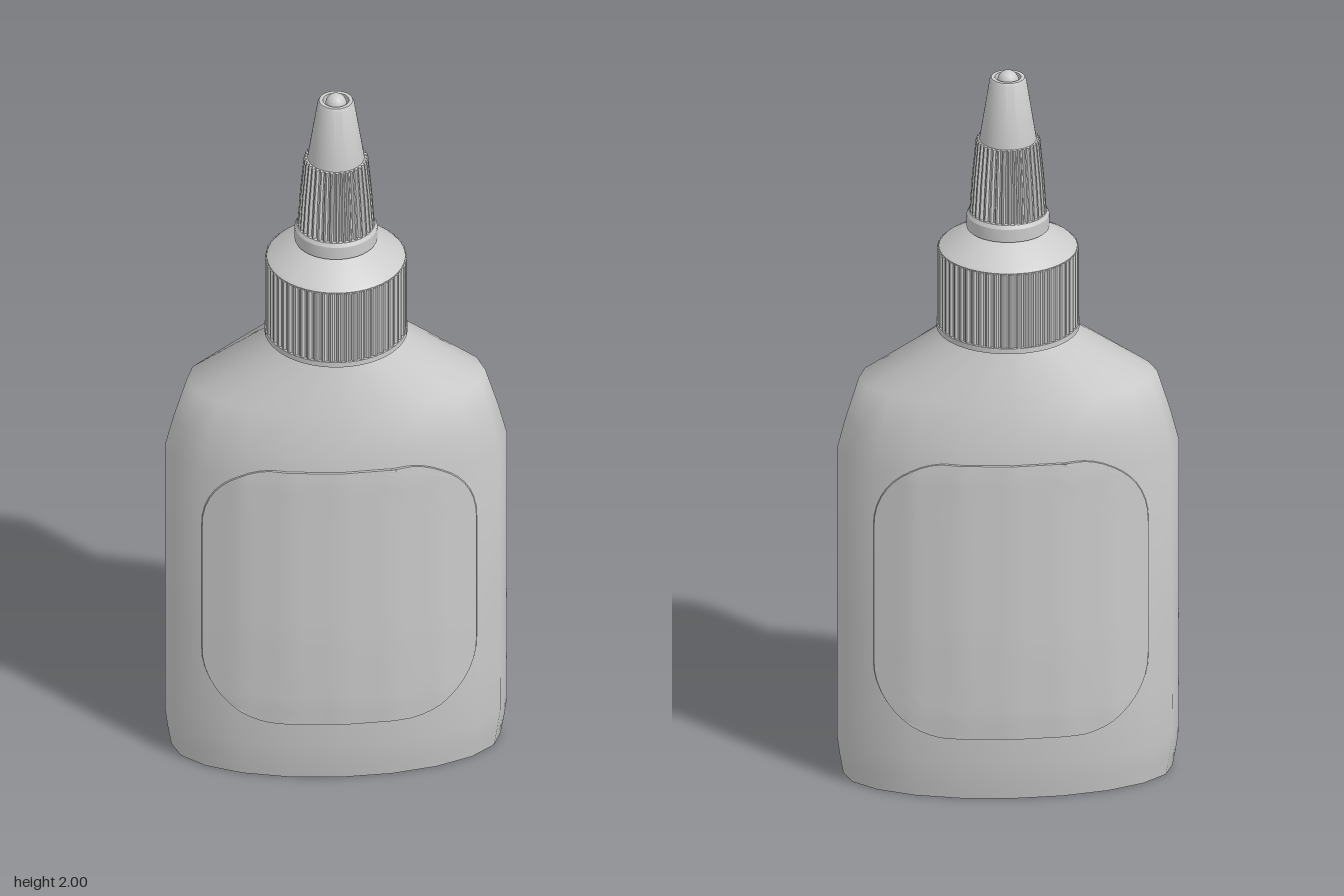
import * as THREE from 'three';
import { toCreasedNormals } from 'three/addons/utils/BufferGeometryUtils.js';

const SEG = 20;
// body rings, bottom to top: [y, half width, half depth]
const BODY = [
  [0, 0.43, 0.188], [0.05, 0.439, 0.199], [0.11, 0.447, 0.207], [0.25, 0.447, 0.22], [0.45, 0.447, 0.226],
  [0.93, 0.447, 0.226], [1.02, 0.424, 0.222], [1.13, 0.39, 0.197], [1.27, 0.16, 0.16], [1.3, 0.15, 0.15],
];
// recessed base, centre outwards
const BASE = [[0.03, 0.001, 0.001], [0.03, 0.35, 0.128], [0.004, 0.385, 0.152], [0, 0.4, 0.165]];

// skin stacked elliptical rings; scale(i, j) varies the radius around a ring
function loft(rings, n, crease, scale = () => 1) {
  const pos = [], index = [];
  rings.forEach(([y, rx, rz], j) => {
    for (let i = 0; i < n; i++) {
      const a = (i / n) * Math.PI * 2, s = scale(i, j);
      pos.push(rx * s * Math.cos(a), y, rz * s * Math.sin(a));
    }
  });
  for (let j = 0; j < rings.length - 1; j++) {
    for (let i = 0; i < n; i++) {
      const k = (i + 1) % n, a = j * n + i, b = j * n + k;
      index.push(a, a + n, b, b, a + n, b + n);
    }
  }
  return finish(pos, index, crease);
}

function finish(pos, index, crease) {
  const g = new THREE.BufferGeometry();
  g.setAttribute('position', new THREE.Float32BufferAttribute(pos, 3));
  g.setIndex(index);
  g.computeVertexNormals();
  return toCreasedNormals(g, crease);
}

function lathe(points, n = 40) {
  const g = new THREE.LatheGeometry(points.map(([r, y]) => new THREE.Vector2(r, y)), n);
  return toCreasedNormals(g, 0.4);
}

// depth of the faceted body surface at x, y
function bodyZ(x, y) {
  const j = Math.max(1, BODY.findIndex((r) => r[0] >= y));
  const [y0, w0, d0] = BODY[j - 1], [y1, w1, d1] = BODY[j];
  const t = (y - y0) / (y1 - y0);
  const w = w0 + (w1 - w0) * t, d = d0 + (d1 - d0) * t;
  const step = (Math.PI * 2) / SEG, a0 = Math.floor(Math.acos(x / w) / step) * step, a1 = a0 + step;
  const u = (x / w - Math.cos(a0)) / (Math.cos(a1) - Math.cos(a0));
  return d * (Math.sin(a0) + (Math.sin(a1) - Math.sin(a0)) * u);
}

// rounded panel wrapped on the body, its border sunk into the surface
function labelGeometry() {
  const rows = 32, cols = 32, y0 = 0.18, y1 = 0.97, half = 0.36, r = 0.2;
  const pos = [], index = [];
  for (let j = 0; j <= rows; j++) {
    const v = (1 - Math.cos((Math.PI * j) / rows)) / 2;
    const y = y0 + (y1 - y0) * v;
    const e = Math.max(0, r - Math.min(y - y0, y1 - y));
    const w = half - r + Math.sqrt(Math.max(0, r * r - e * e));
    for (let i = 0; i <= cols; i++) {
      const x = -w * Math.cos((Math.PI * i) / cols);
      const edge = i === 0 || j === 0 || i === cols || j === rows;
      pos.push(x, y, bodyZ(x, y) + (edge ? -0.002 : 0.005));
    }
  }
  for (let j = 0; j < rows; j++) {
    for (let i = 0; i < cols; i++) {
      const a = j * (cols + 1) + i, c = a + cols + 1;
      index.push(a, a + 1, c, a + 1, c + 1, c);
    }
  }
  return finish(pos, index, 0.4);
}

export function createModel() {
  const group = new THREE.Group();
  const mat = new THREE.MeshStandardMaterial({ color: 0xcccccc, side: THREE.DoubleSide });
  const add = (name, geometry) => {
    const mesh = new THREE.Mesh(geometry, mat);
    mesh.name = name;
    group.add(mesh);
    return mesh;
  };

  // bottle
  add('bottleBody', loft([...BASE, ...BODY], SEG, 0.9));
  const label = labelGeometry();
  add('frontLabel', label);
  add('backLabel', label).rotation.y = Math.PI;

  // screw cap: flange, ribbed wall, sloping shoulder
  add('capFlange', lathe([[0.13, 1.272], [0.187, 1.272], [0.187, 1.287], [0.17, 1.287]], 48));
  const groove = (depth) => (i) => (i % 4 < 2 ? 1 : 1 - depth);
  add('capRibs', loft([[1.28, 0.185, 0.185], [1.497, 0.185, 0.185], [1.497, 0.16, 0.16]], 56 * 4, 0.25, groove(0.03)));
  add('capShoulder', lathe([[0.178, 1.48], [0.181, 1.499], [0.174, 1.506], [0.095, 1.552], [0.085, 1.57]], 48));

  // twist nozzle: collar, ribbed grip, tapered tip
  add('nozzleCollar', lathe([[0.08, 1.556], [0.108, 1.556], [0.108, 1.592], [0.102, 1.602], [0.08, 1.604]]));
  add('nozzleGrip', loft([[1.595, 0.101, 0.101], [1.7, 0.094, 0.094], [1.805, 0.084, 0.084], [1.806, 0.06, 0.06]], 36 * 4, 0.25, groove(0.08)));
  add('nozzleTip', lathe([[0.075, 1.79], [0.074, 1.81], [0.048, 1.975], [0.044, 1.982], [0.034, 1.982], [0.032, 1.95], [0, 1.95]]));
  const plug = add('tipPlug', new THREE.SphereGeometry(0.028, 20, 14));
  plug.position.y = 1.972;
  return group;
}
